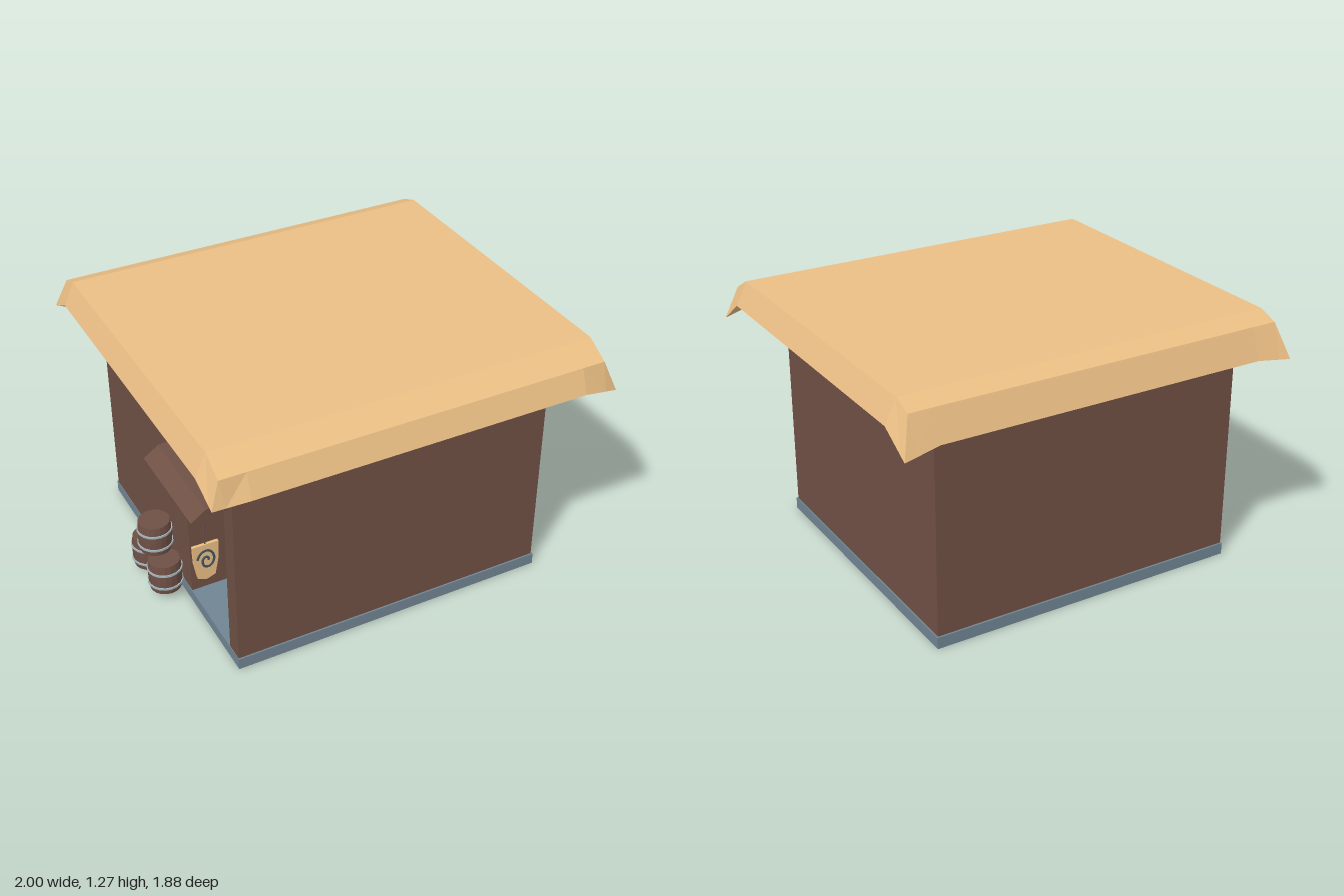
import * as THREE from 'three';

const paint = (color) => new THREE.MeshStandardMaterial({ color, flatShading: true });
const BROWN = paint(0x6f5045), TAN = paint(0xeabe84), STONE = paint(0x708492);
const STEEL = paint(0xa3b6bd), INK = paint(0x3f5566);

function add(parent, name, geometry, material, x = 0, y = 0, z = 0) {
  const mesh = new THREE.Mesh(geometry, material);
  mesh.name = name;
  mesh.position.set(x, y, z);
  parent.add(mesh);
  return mesh;
}

const outline = (points) => new THREE.Shape(points.map(([x, y]) => new THREE.Vector2(x, y)));
const slab = (points, depth) =>
  new THREE.ExtrudeGeometry(outline(points), { depth, bevelEnabled: false });

// Roof: two 6 x 6 grids (skin and soffit) that share a drooping eave
function roofGeometry() {
  const xs = [-0.995, -0.945, -0.82, 0.82, 0.935, 0.99];
  const zs = [0.94, 0.895, 0.78, -0.77, -0.865, -0.92];
  const skinY = [0, 1.205, 1.27, 1.27, 1.235, 0];
  const corners = { '00': [-0.985, 1.07, 0.91], '50': [1, 1.05, 0.92],
    '05': [-0.99, 1.07, -0.94], '55': [0.99, 1.06, -0.935] };
  const isEnd = (k) => k === 0 || k === 5;
  const isMid = (k) => k === 2 || k === 3;
  const near = (k) => (k < 3 ? 2 : 3);
  const far = (k) => (k < 3 ? 0 : 5);
  const mix = (a, b, t) => a.map((v, n) => v + (b[n] - v) * t);

  function point(i, j, top) {
    if (isEnd(i) && isEnd(j)) return corners[`${i}${j}`];
    if (isEnd(i)) return isMid(j) ? [xs[i], 1.155, zs[j]]
      : mix(point(i, near(j), top), corners[`${i}${far(j)}`], 0.8);
    if (isEnd(j)) return isMid(i) ? [xs[i], 1.09, zs[j]]
      : mix(point(near(i), j, top), corners[`${far(i)}${j}`], 0.65);
    if (top) return [xs[i], skinY[j], zs[j]];
    const soffitY = isMid(j) ? 1.155 : isMid(i) ? 1.11 : 1.082;
    return [xs[i], soffitY, zs[j]];
  }

  const position = [];
  for (const top of [true, false]) {
    for (let i = 0; i < 5; i++) {
      for (let j = 0; j < 5; j++) {
        const a = point(i, j, top), b = point(i + 1, j, top);
        const c = point(i + 1, j + 1, top), d = point(i, j + 1, top);
        // hips run out to the corners
        const tris = (i < 2) === (j < 2) ? [[a, b, c], [a, c, d]] : [[a, b, d], [b, c, d]];
        for (const t of tris) position.push(...(top ? t : t.reverse()).flat());
      }
    }
  }
  const geometry = new THREE.BufferGeometry();
  geometry.setAttribute('position', new THREE.Float32BufferAttribute(position, 3));
  geometry.computeVertexNormals();
  return geometry;
}

// Barrel with a slight belly and two hoops, standing on its origin
function barrel(name) {
  const group = new THREE.Group();
  group.name = name;
  const profile = [[0, 0], [0.076, 0], [0.081, 0.04], [0.082, 0.08], [0.081, 0.12], [0.076, 0.162], [0, 0.162]];
  add(group, 'staves', new THREE.LatheGeometry(profile.map(([r, y]) => new THREE.Vector2(r, y)), 18), BROWN);
  for (const y of [0.036, 0.115]) {
    add(group, 'hoop', new THREE.CylinderGeometry(0.086, 0.086, 0.011, 18), STEEL, 0, y, 0);
  }
  return group;
}

export function createModel() {
  const model = new THREE.Group();
  model.name = 'hut';

  add(model, 'foundation', new THREE.BoxGeometry(1.59, 0.058, 1.505), STONE, -0.033, 0.029, -0.002);

  // Walls: plan with a doorway recess in the right-hand side, drawn as (x, -z)
  const plan = [[-0.825, 0.745], [-0.825, -0.22], [-0.42, -0.22], [-0.42, -0.65],
    [-0.825, -0.65], [-0.825, -0.742], [0.755, -0.742], [0.755, 0.745]];
  add(model, 'walls', slab(plan, 0.832), BROWN, 0, 0.058, 0).rotation.x = -Math.PI / 2;
  add(model, 'upperWalls', new THREE.BoxGeometry(1.58, 0.27, 1.487), BROWN, -0.035, 1.025, -0.0015);

  add(model, 'roof', roofGeometry(), TAN);

  // Bent awning above the doorway
  const awning = [[-0.815, 0.937], [-0.93, 0.925], [-1, 0.875], [-0.99, 0.85], [-0.93, 0.903], [-0.815, 0.882]];
  add(model, 'awning', slab(awning, 0.52), BROWN, 0, 0, 0.19);

  // Hanging sign with a spiral ornament on its front
  const sign = new THREE.Group();
  sign.name = 'hangingSign';
  sign.position.set(-0.937, 0, 0.695);
  model.add(sign);
  const board = [[-0.06, 0.735], [-0.057, 0.645], [-0.042, 0.56], [0, 0.545], [0.04, 0.56], [0.057, 0.645], [0.061, 0.735]];
  add(sign, 'board', slab(board, 0.014), TAN, 0, 0, -0.007);
  add(sign, 'cord', new THREE.CylinderGeometry(0.003, 0.003, 0.18, 6), BROWN, 0, 0.82, 0);
  const swirl = [];
  for (let k = 0; k <= 20; k++) {
    const angle = k * 0.46, r = 0.008 + 0.0021 * k;
    swirl.push(new THREE.Vector3(0.9 * r * Math.cos(angle), 0.65 + 1.2 * r * Math.sin(angle), 0));
  }
  const spiral = new THREE.TubeGeometry(new THREE.CatmullRomCurve3(swirl), 60, 0.006, 6);
  add(sign, 'spiral', spiral, INK, 0.003, 0, 0.008).scale.z = 0.5;

  // Stack of three barrels
  [['barrelBack', 0.04, -0.1], ['barrelFront', 0.04, 0.1], ['barrelTop', 0.202, 0]].forEach(([name, y, z]) => {
    const b = barrel(name);
    b.position.set(-0.911, y, z);
    model.add(b);
  });

  return model;
}
